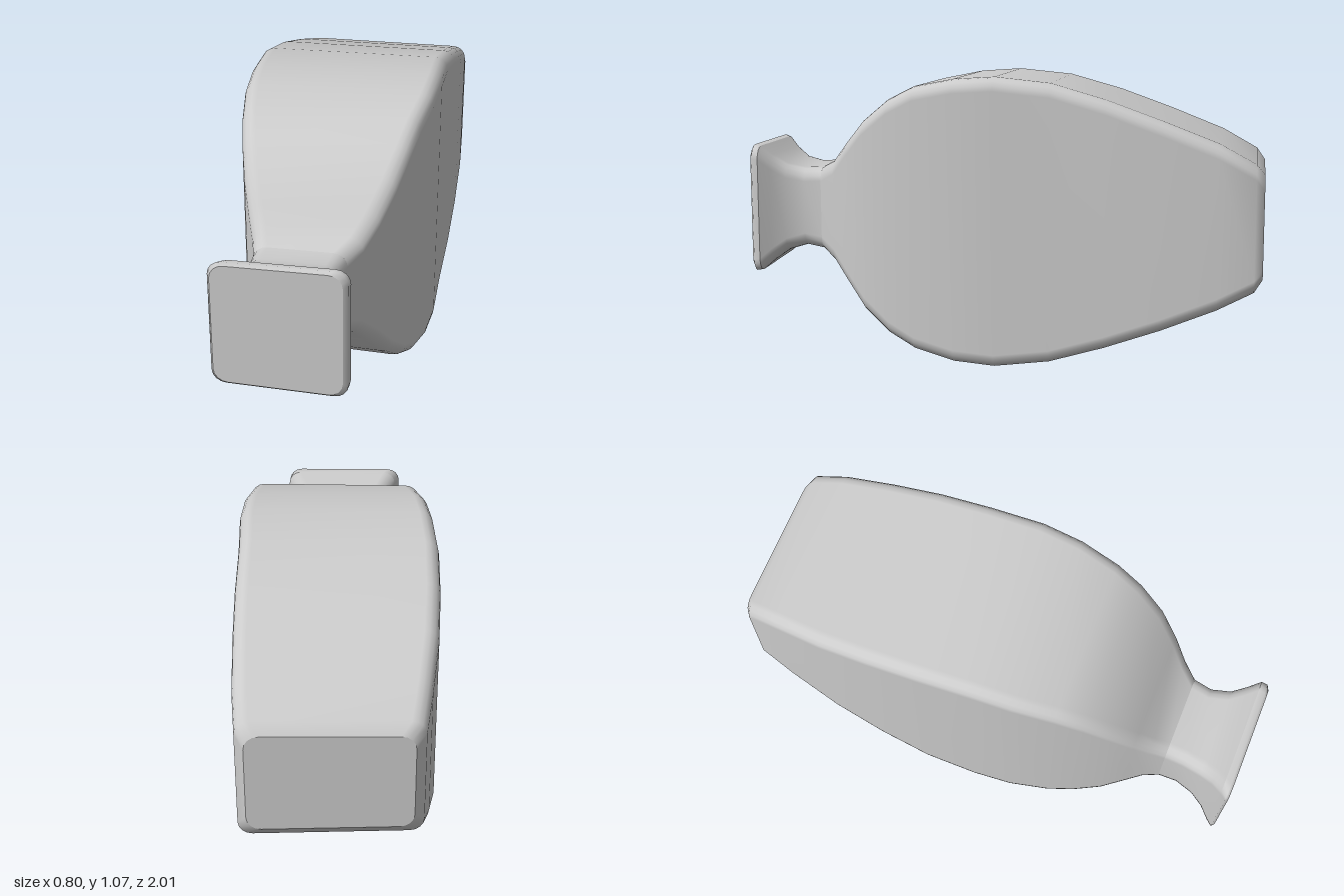
import * as THREE from 'three';

const TILT = 0.16; // every cross-section leans slightly, so the ends are slanted

// Cross-sections: z, left x, right x, bottom y, top y
const bodyRows = [
  [-0.96, -0.37, 0.19, 0.355, 0.725],
  [-0.93, -0.4, 0.225, 0.315, 0.765],
  [-0.8, -0.405, 0.255, 0.25, 0.835],
  [-0.6, -0.405, 0.29, 0.17, 0.91],
  [-0.4, -0.39, 0.32, 0.1, 0.98],
  [-0.2, -0.365, 0.345, 0.04, 1.035],
  [0, -0.325, 0.38, 0.015, 1.055],
  [0.15, -0.29, 0.395, 0.025, 1.045],
  [0.3, -0.24, 0.395, 0.06, 1.015],
  [0.4, -0.2, 0.39, 0.11, 0.965],
  [0.5, -0.155, 0.375, 0.19, 0.885],
  [0.58, -0.11, 0.345, 0.285, 0.795],
  [0.64, -0.075, 0.31, 0.35, 0.725],
  [0.7, -0.05, 0.275, 0.385, 0.695],
];
const neckRows = [
  bodyRows[bodyRows.length - 1],
  [0.77, -0.04, 0.275, 0.395, 0.69],
  [0.84, -0.045, 0.3, 0.375, 0.705],
  [0.89, -0.06, 0.335, 0.34, 0.74],
  [0.93, -0.085, 0.365, 0.305, 0.775],
];
const plateRows = [
  neckRows[neckRows.length - 1],
  [0.955, -0.1, 0.365, 0.3, 0.78],
  [0.966, -0.09, 0.35, 0.31, 0.77],
];

// Rounded rectangle, counter-clockwise seen from the front
function ring([z, x0, x1, y0, y1]) {
  const r = 0.05, steps = 4, pts = [];
  const cx = (x0 + x1) / 2, cy = (y0 + y1) / 2;
  const hw = (x1 - x0) / 2, hh = (y1 - y0) / 2;
  [[1, 1], [-1, 1], [-1, -1], [1, -1]].forEach(([sx, sy], corner) => {
    for (let k = 0; k <= steps; k++) {
      const a = (corner + k / steps) * Math.PI / 2;
      const dx = sx * (hw - r) + r * Math.cos(a);
      const dy = sy * (hh - r) + r * Math.sin(a);
      // the right-hand edge is slightly taller
      pts.push([cx + dx, cy + dy * (1 + 0.03 * Math.max(0, dx / hw)), z - TILT * dx]);
    }
  });
  return pts;
}

function geometryFrom(points, index) {
  const g = new THREE.BufferGeometry();
  g.setAttribute('position', new THREE.Float32BufferAttribute(points.flat(), 3));
  g.setIndex(index);
  g.computeVertexNormals();
  return g;
}

// Skin joining consecutive cross-sections
function loft(rows) {
  const rings = rows.map(ring), n = rings[0].length, index = [];
  for (let i = 0; i < rings.length - 1; i++) {
    for (let j = 0; j < n; j++) {
      const a = i * n + j, b = i * n + (j + 1) % n;
      index.push(a, b, b + n, a, b + n, a + n);
    }
  }
  return geometryFrom(rings.flat(), index);
}

// Flat end face
function cap(row, front) {
  const pts = ring(row), index = [];
  for (let j = 1; j < pts.length - 1; j++) {
    index.push(0, ...(front ? [j, j + 1] : [j + 1, j]));
  }
  return geometryFrom(pts, index);
}

export function createModel() {
  const group = new THREE.Group();
  const material = new THREE.MeshStandardMaterial({ color: 0xcccccc });
  const add = (name, geometry) => {
    const mesh = new THREE.Mesh(geometry, material);
    mesh.name = name;
    group.add(mesh);
  };
  add('body', loft(bodyRows));
  add('backFace', cap(bodyRows[0], false));
  add('neck', loft(neckRows));
  add('endPlate', loft(plateRows));
  add('frontFace', cap(plateRows[plateRows.length - 1], true));
  return group;
}
